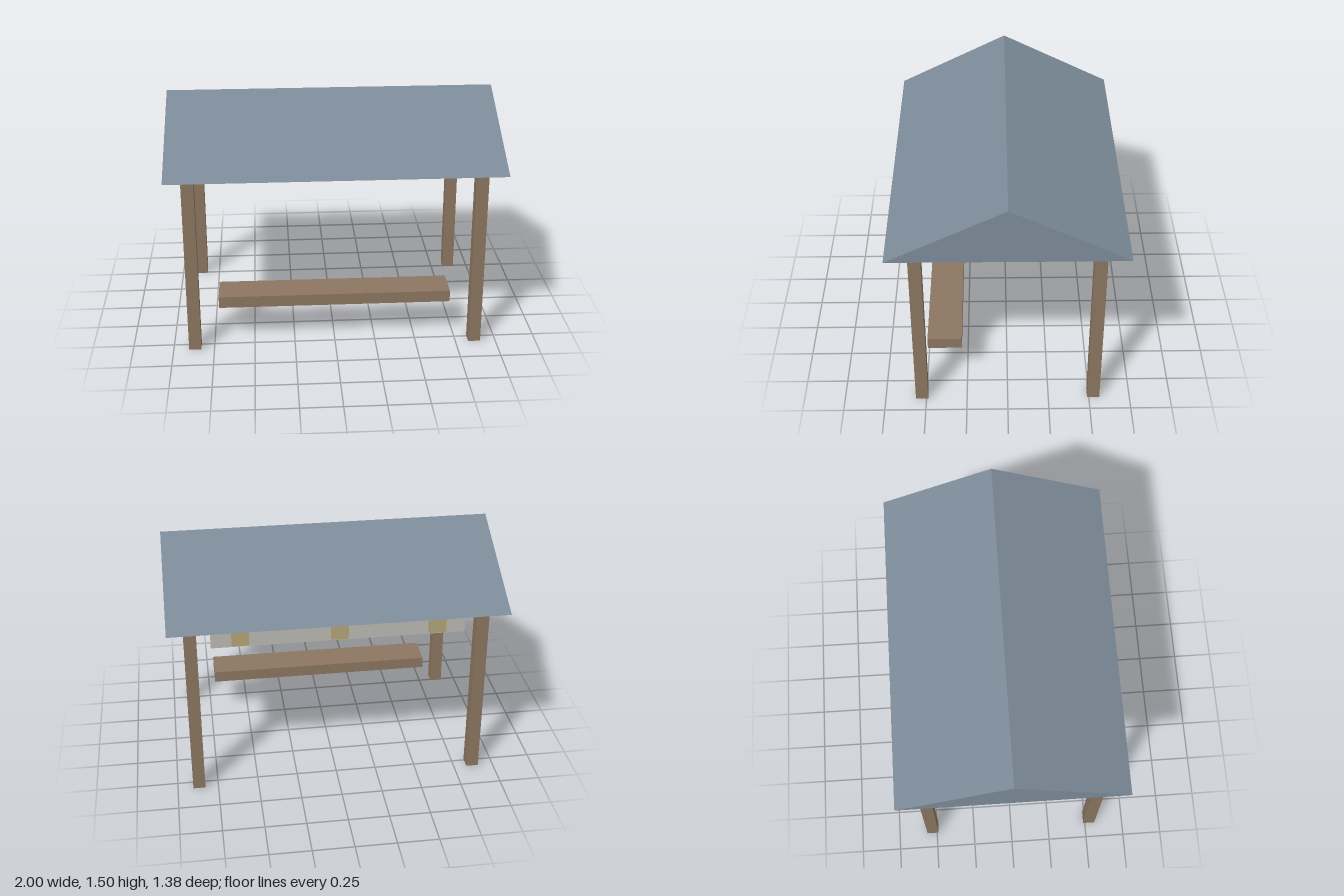
import * as THREE from 'three';

const material = (name, color) => {
  const m = new THREE.MeshStandardMaterial({ color });
  m.name = name;
  return m;
};

export function createModel() {
  const wood = material('brown wood', 0x8b7560);
  const slate = material('slate blue roof', 0x7b8a97);
  const board = material('pale grey board', 0xbab8b2);
  const brass = material('dull gold', 0xb3a478);

  const model = new THREE.Group();
  model.name = 'shelter';

  // Box given by its low and high corners
  const box = (name, mat, [x0, y0, z0], [x1, y1, z1]) => {
    const mesh = new THREE.Mesh(new THREE.BoxGeometry(x1 - x0, y1 - y0, z1 - z0), mat);
    mesh.position.set((x0 + x1) / 2, (y0 + y1) / 2, (z0 + z1) / 2);
    mesh.name = name;
    model.add(mesh);
  };

  // Four corner posts
  const half = 0.0375;
  for (const sx of [-1, 1]) {
    for (const sz of [-1, 1]) {
      const x = sx * 0.868, z = sz * 0.527;
      const name = (sz > 0 ? 'front' : 'back') + (sx > 0 ? 'Left' : 'Right') + 'Post';
      box(name, wood, [x - half, 0, z - half], [x + half, 1.15, z + half]);
    }
  }

  // Bench plank behind the front posts
  box('bench', wood, [-0.715, 0.245, 0.28], [0.715, 0.318, 0.49]);

  // Solid gable roof, its triangle extruded along x
  const gable = new THREE.Shape();
  gable.moveTo(-0.69, 1.15);
  gable.lineTo(0.69, 1.15);
  gable.lineTo(0, 1.495);
  gable.closePath();
  const roofGeometry = new THREE.ExtrudeGeometry(gable, { depth: 2, bevelEnabled: false });
  roofGeometry.translate(0, 0, -1).rotateY(Math.PI / 2);
  const roof = new THREE.Mesh(roofGeometry, slate);
  roof.name = 'roof';
  model.add(roof);

  // Board under the back eave with three small blocks
  box('backBoard', board, [-0.75, 1.008, -0.595], [0.75, 1.15, -0.565]);
  for (const x of [-0.58, 0, 0.58]) {
    box('boardBlock', brass, [x - 0.05, 1.028, -0.625], [x + 0.05, 1.132, -0.595]);
  }

  return model;
}
